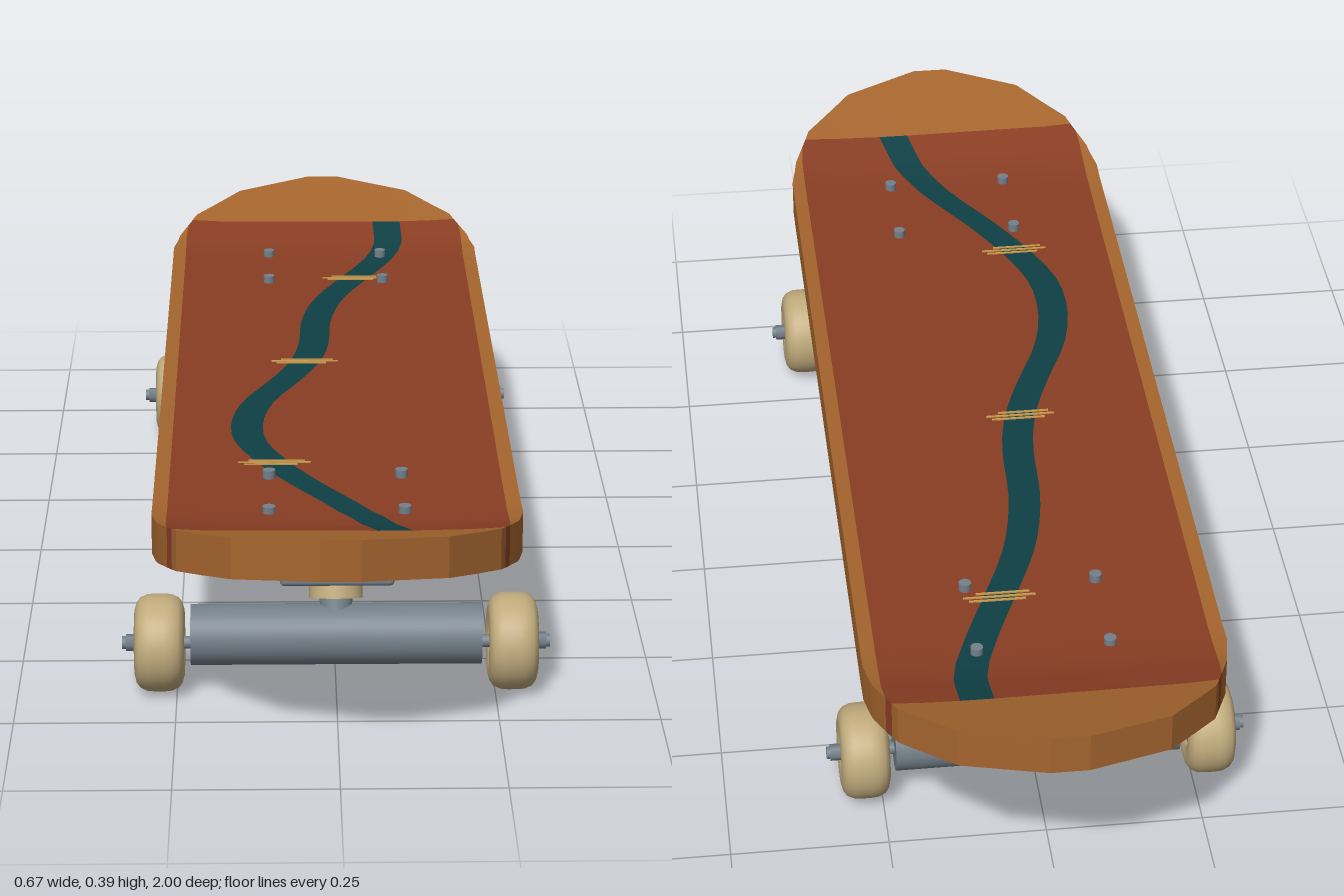
import * as THREE from 'three';
import { toCreasedNormals } from 'three/addons/utils/BufferGeometryUtils.js';
import { RoundedBoxGeometry } from 'three/addons/geometries/RoundedBoxGeometry.js';

const paint = (name, color) => {
  const m = new THREE.MeshStandardMaterial({ color });
  m.name = name;
  return m;
};

// piecewise linear lookup through [position, value] points
function lerpTable(points, p) {
  for (let i = 1; i < points.length; i++) {
    const [a, va] = points[i - 1], [b, vb] = points[i];
    if (p <= b) return va + (vb - va) * Math.max(0, (p - a) / (b - a));
  }
  return points[points.length - 1][1];
}

const OUTLINE = [[0, 0.283], [0.72, 0.283], [0.78, 0.272], [0.86, 0.242], [0.95, 0.16], [1, 0.03]];
const KICK = [[0.68, 0], [0.76, 0.007], [0.84, 0.027], [0.95, 0.058], [1, 0.073]];
const PANEL_END = 0.84, TOP = 0.321, BOTTOM = 0.256;
const halfWidth = (z) => lerpTable(OUTLINE, Math.abs(z));
const deckY = (base, x, z) => base + lerpTable(KICK, Math.abs(z)) + 0.008 * Math.pow(Math.abs(x) / 0.283, 4);

// wandering centre line of the painted stripe
const stripe = new THREE.CatmullRomCurve3([
  [0.12, -0.84], [0.12, -0.75], [0.09, -0.65], [0.05, -0.55], [0.005, -0.43], [-0.02, -0.3], [-0.027, -0.15],
  [-0.045, -0.05], [-0.08, 0.05], [-0.12, 0.15], [-0.139, 0.25], [-0.135, 0.35], [-0.1, 0.45], [-0.05, 0.55],
  [0.01, 0.65], [0.06, 0.75], [0.085, 0.84],
].map(([x, z]) => new THREE.Vector3(x, 0, z)));
const STRIPE_POINTS = stripe.getPoints(80).map((p) => [p.z, p.x]);
const stripeX = (z) => lerpTable(STRIPE_POINTS, z);

function buildDeck(wood, red, teal) {
  const tris = new Map([[wood, []], [red, []], [teal, []]]);
  const quad = (mat, a, b, c, d) => tris.get(mat).push(...a, ...b, ...c, ...a, ...c, ...d);

  // stations along the length
  const half = [0.68, 0.72, 0.76, 0.78, 0.82, PANEL_END, 0.86, 0.9, 0.95, 1];
  const zs = half.flatMap((z) => [z, -z]);
  for (let i = -16; i <= 16; i++) zs.push(i * 0.04);
  zs.sort((a, b) => a - b);

  const columns = (z) => {
    const w = halfWidth(z), c = stripeX(z);
    return [-w, -0.26, -0.2, c - 0.026, c + 0.026, 0.2, 0.26, w].map((x) => THREE.MathUtils.clamp(x, -w, w));
  };
  const colours = [wood, red, red, teal, red, red, wood];

  for (let i = 0; i < zs.length - 1; i++) {
    const z0 = zs[i], z1 = zs[i + 1], mid = Math.abs(z0 + z1) / 2;
    const a = columns(z0), b = columns(z1);
    const at = (base, x, z) => [x, deckY(base, x, z), z];
    // top and bottom faces
    colours.forEach((colour, k) => {
      const mat = mid > PANEL_END ? wood : colour;
      const face = (y) => [at(y, a[k], z0), at(y, b[k], z1), at(y, b[k + 1], z1), at(y, a[k + 1], z0)];
      quad(mat, ...face(TOP));
      quad(mat, ...face(BOTTOM).reverse());
    });
    // side rims, with a narrow red band at each panel end
    const rim = mid > 0.82 && mid < PANEL_END ? red : wood;
    const side = (s) => [
      at(BOTTOM, s * halfWidth(z0), z0), at(TOP, s * halfWidth(z0), z0),
      at(TOP, s * halfWidth(z1), z1), at(BOTTOM, s * halfWidth(z1), z1)];
    quad(rim, ...side(1));
    quad(rim, ...side(-1).reverse());
  }
  // blunt tips
  for (const z of [-1, 1]) {
    const w = halfWidth(z) * z;
    const p = (base, x) => [x, deckY(base, x, z), z];
    quad(wood, p(BOTTOM, -w), p(BOTTOM, w), p(TOP, w), p(TOP, -w));
  }

  const deck = new THREE.Group();
  deck.name = 'deck';
  for (const [mat, list] of tris) {
    let geo = new THREE.BufferGeometry();
    geo.setAttribute('position', new THREE.Float32BufferAttribute(list, 3));
    geo = toCreasedNormals(geo, 0.35);
    const mesh = new THREE.Mesh(geo, mat);
    mesh.name = { wood: 'deckWood', red: 'deckPanel', teal: 'deckStripe' }[mat.name];
    deck.add(mesh);
  }
  return deck;
}

export function createModel() {
  const wood = paint('wood', 0xa5652e), red = paint('red', 0x8a3e24), teal = paint('teal', 0x0f4045);
  const metal = paint('metal', 0x74808a), cream = paint('cream', 0xc0aa7c), gold = paint('gold', 0xc8994c);

  const model = new THREE.Group();
  model.name = 'skateboard';
  model.add(buildDeck(wood, red, teal));

  const add = (parent, name, geo, mat, x = 0, y = 0, z = 0) => {
    const mesh = new THREE.Mesh(geo, mat);
    mesh.name = name;
    mesh.position.set(x, y, z);
    parent.add(mesh);
    return mesh;
  };
  const axial = (r, length, sides = 32) => new THREE.CylinderGeometry(r, r, length, sides).rotateZ(Math.PI / 2);

  // thin stitches across the stripe, above and below
  for (const z of [-0.555, -0.06, 0.46]) {
    for (const [dx, dz, length] of [[0.004, -0.009, 0.09], [0, 0, 0.115], [-0.006, 0.009, 0.085]]) {
      for (const y of [TOP, BOTTOM]) {
        add(model, 'stitch', new THREE.BoxGeometry(length, 0.004, 0.004), gold, stripeX(z) + dx, y, z + dz);
      }
    }
  }

  // wheel cross-section: [radius, position along axle]
  const wheelProfile = [
    [0.03, -0.03], [0.034, -0.036], [0.052, -0.039], [0.063, -0.036], [0.071, -0.03], [0.076, -0.019], [0.077, -0.008],
    [0.077, 0.008], [0.076, 0.019], [0.071, 0.03], [0.063, 0.036], [0.052, 0.039], [0.034, 0.036], [0.03, 0.03],
  ].map(([r, t]) => new THREE.Vector2(r, t));
  const wheelGeo = new THREE.LatheGeometry(wheelProfile, 40).rotateZ(-Math.PI / 2);

  for (const end of [1, -1]) {
    const truck = new THREE.Group();
    truck.name = end > 0 ? 'frontTruck' : 'rearTruck';
    truck.rotation.y = end > 0 ? 0 : Math.PI;
    model.add(truck);

    add(truck, 'baseplate', new RoundedBoxGeometry(0.176, 0.032, 0.22, 2, 0.007), metal, 0, 0.229, 0.615);

    // tilted kingpin and bushing
    const pivot = new THREE.Group();
    pivot.name = 'pivot';
    pivot.position.set(0, 0.168, 0.586);
    pivot.rotation.x = -0.32;
    truck.add(pivot);
    add(pivot, 'kingpin', new THREE.CylinderGeometry(0.025, 0.025, 0.1, 24), metal, 0, 0.005, 0);
    add(pivot, 'bushing', new THREE.CylinderGeometry(0.042, 0.042, 0.05, 32), cream);
    add(pivot, 'kingpinNut', new THREE.CylinderGeometry(0.026, 0.026, 0.008, 24), metal, 0, -0.028, 0);

    // hanger, axle and wheels
    add(truck, 'hanger', axial(0.048, 0.456), metal, 0, 0.089, 0.609);
    add(truck, 'axle', axial(0.01, 0.672, 16), metal, 0, 0.077, 0.612);
    for (const s of [1, -1]) {
      add(truck, 'wheel', wheelGeo, cream, s * 0.277, 0.077, 0.612);
      add(truck, 'bearing', axial(0.031, 0.062), metal, s * 0.277, 0.077, 0.612);
      add(truck, 'axleNut', axial(0.0135, 0.02, 6), metal, s * 0.32, 0.077, 0.612);
    }

    // mounting bolts showing on the deck top
    for (const x of [-0.104, 0.104]) {
      for (const z of [0.53, 0.695]) {
        add(truck, 'bolt', new THREE.CylinderGeometry(0.01, 0.01, 0.02, 12), metal, x, 0.325, z);
      }
    }
  }
  return model;
}
